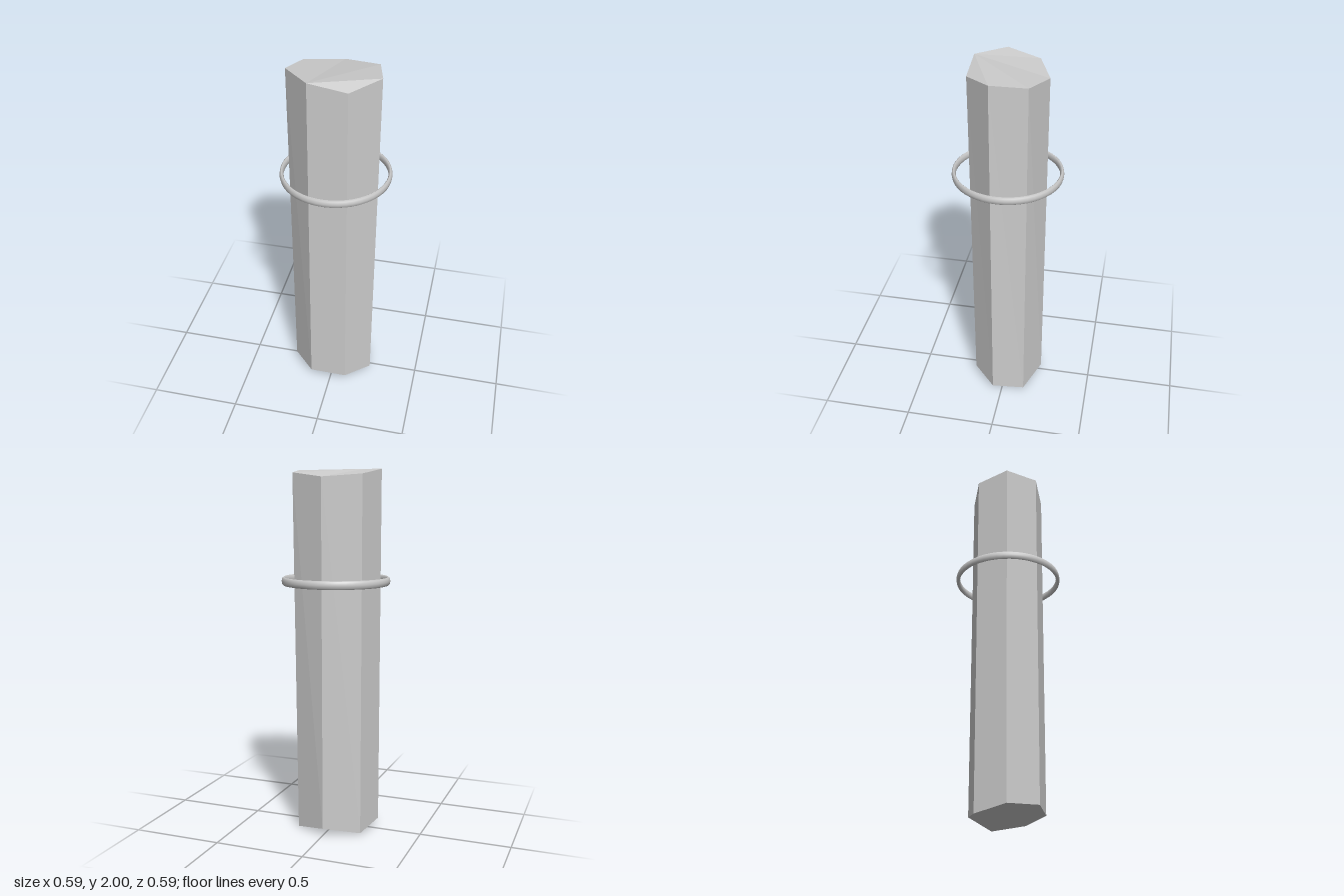
import * as THREE from 'three';

// Corner loops [x, y, z] of the seven-sided column, starting at the back
const TOP = [
  [0.003, 1.947, -0.21], [0.195, 1.973, -0.135], [0.239, 1.992, 0.05], [0.1, 1.967, 0.186],
  [-0.1, 2.0, 0.19], [-0.242, 1.992, 0.045], [-0.195, 1.962, -0.133],
];
const BOTTOM = [
  [0, 0.042, -0.208], [0.178, 0.003, -0.127], [0.225, 0.034, 0.05], [0.095, 0.053, 0.18],
  [-0.112, 0.06, 0.184], [-0.24, 0.047, 0.044], [-0.192, 0.014, -0.13],
];

// Faceted solid between two corner loops, with uneven caps fanned from one corner
function crystalGeometry(top, bottom, fan) {
  const n = top.length;
  const positions = [];
  const tri = (a, b, c) => positions.push(...a, ...b, ...c);
  for (let i = 0; i < n; i++) {
    const j = (i + 1) % n;
    tri(bottom[i], top[i], top[j]);
    tri(bottom[i], top[j], bottom[j]);
    if (i !== fan && j !== fan) {
      tri(top[fan], top[j], top[i]);
      tri(bottom[fan], bottom[i], bottom[j]);
    }
  }
  const geometry = new THREE.BufferGeometry();
  geometry.setAttribute('position', new THREE.Float32BufferAttribute(positions, 3));
  geometry.computeVertexNormals();
  return geometry;
}

export function createModel() {
  const group = new THREE.Group();
  group.name = 'ringedColumn';

  // Rough column with slightly broken ends
  const column = new THREE.Mesh(
    crystalGeometry(TOP, BOTTOM, 4),
    new THREE.MeshStandardMaterial({ color: 0xcccccc, flatShading: true })
  );
  column.name = 'column';
  group.add(column);

  // Floating band: a torus with its section stretched upwards
  const bandGeometry = new THREE.TorusGeometry(0.286, 0.011, 8, 48);
  bandGeometry.scale(1, 1, 2.05);
  bandGeometry.rotateX(Math.PI / 2);
  const band = new THREE.Mesh(bandGeometry, new THREE.MeshStandardMaterial({ color: 0xcccccc }));
  band.name = 'floatingRing';
  band.position.y = 1.397;
  group.add(band);

  return group;
}
